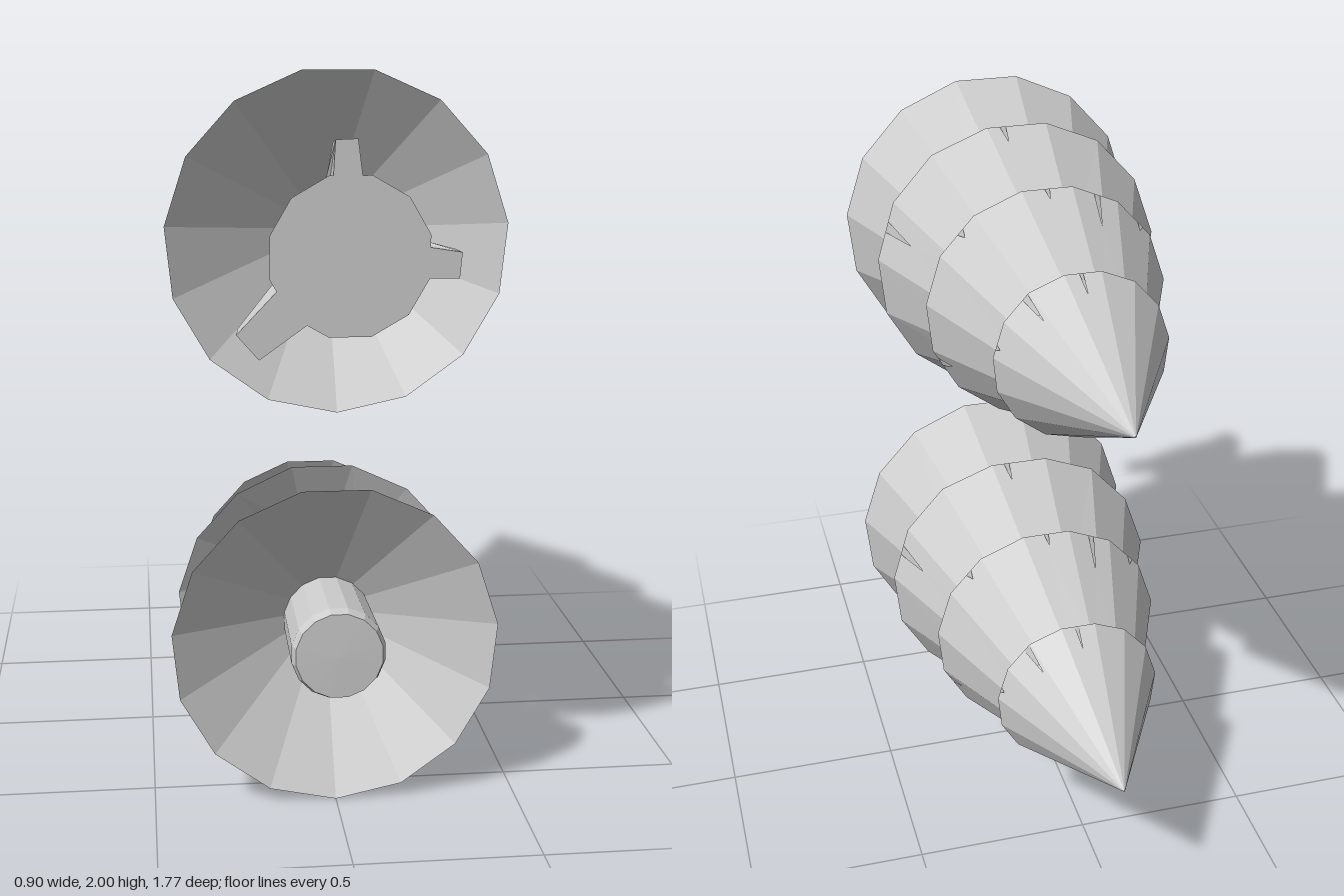
import * as THREE from 'three';

const SIDES = 15;
const material = new THREE.MeshStandardMaterial({ color: 0xcccccc, flatShading: true, side: THREE.DoubleSide });
const point = (r, a, z) => [r * Math.cos(a), r * Math.sin(a), z];
const mix = (a, b, t) => a.map((v, i) => v + (b[i] - v) * t);

// Branch tiers: rim and tip as [radius, z], under = inner end of the hollow underside,
// notches as [facet, position along facet, depth along slope, half width]
const TIERS = [
  { rim: [0.45, 0.62], tip: [0.27, 0.17], under: [0.125, 0.4], wave: 0, notches: [] },
  { rim: [0.42, 0.262], tip: [0.24, -0.18], under: [0.2, 0.16], wave: 0.01, notches: [[4, 0.58, 0.27, 0.09], [7, 0.27, 0.14, 0.05]] },
  { rim: [0.347, -0.072], tip: [0.17, -0.5], under: [0.16, -0.16], wave: 0.004,
    notches: [[2, 0.7, 0.14, 0.1], [5, 0.6, 0.06, 0.08], [7, 0.5, 0.09, 0.05], [8, 0.54, 0.28, 0.06], [9, 0.7, 0.06, 0.08]] },
  { rim: [0.243, -0.422], tip: [0.001, -0.885], under: [0.1, -0.5], wave: 0.004,
    notches: [[4, 0.3, 0.03, 0.08], [5, 0.85, 0.18, 0.1], [7, 0.45, 0.14, 0.05]] },
];

// Faceted cone ring with slits cut into its rim and a concave underside
function tierGeometry({ rim, tip, under, wave, notches }) {
  const positions = [];
  const tri = (...corners) => corners.forEach((c) => positions.push(...c));
  const angle = (k) => -Math.PI / 2 + ((k % SIDES) / SIDES) * Math.PI * 2;
  const edge = (k) => point(rim[0], angle(k), rim[1] - wave * Math.cos(4 * angle(k)));
  for (let k = 0; k < SIDES; k++) {
    const a = edge(k), b = edge(k + 1);
    const ta = point(tip[0], angle(k), tip[1]), tb = point(tip[0], angle(k + 1), tip[1]);
    const ua = point(under[0], angle(k), under[1]), ub = point(under[0], angle(k + 1), under[1]);
    const notch = notches.find((n) => n[0] === k);
    if (notch) {
      const [, t, depth, half] = notch;
      const left = mix(a, b, t - half), right = mix(a, b, t + half);
      const top = mix(mix(a, b, t), mix(ta, tb, t), depth);
      tri(a, top, left);
      tri(a, ta, top);
      tri(ta, tb, top);
      tri(top, tb, b);
      tri(top, b, right);
    } else {
      tri(a, ta, b);
      tri(ta, tb, b);
    }
    tri(a, b, ua);
    tri(b, ub, ua);
  }
  const geometry = new THREE.BufferGeometry();
  geometry.setAttribute('position', new THREE.Float32BufferAttribute(positions, 3));
  geometry.computeVertexNormals();
  return geometry;
}

// Turned trunk along z from [radius, z] points
function trunkGeometry(profile, sides) {
  const points = profile.map(([r, z]) => new THREE.Vector2(r, z));
  return new THREE.LatheGeometry(points, sides, Math.PI / sides).rotateX(Math.PI / 2);
}

// Stubby root pointing along +x, narrowing towards its end
function rootGeometry(length, inner, outer) {
  const shape = new THREE.Shape([
    [0.1, 0.885], [0.1, 0.76], [0.195, 0.815], [length - 0.01, 0.84], [length, 0.885],
  ].map(([r, z]) => new THREE.Vector2(r, -z)));
  const geometry = new THREE.ExtrudeGeometry(shape, { depth: 1, bevelEnabled: false });
  geometry.translate(0, 0, -0.5).rotateX(-Math.PI / 2);
  const p = geometry.attributes.position;
  for (let i = 0; i < p.count; i++) {
    const t = THREE.MathUtils.clamp((p.getX(i) - 0.19) / (length - 0.19), 0, 1);
    p.setY(i, p.getY(i) * THREE.MathUtils.lerp(inner, outer, t));
  }
  geometry.computeVertexNormals();
  return geometry;
}

function addMesh(parent, name, geometry) {
  const mesh = new THREE.Mesh(geometry, material);
  mesh.name = name;
  parent.add(mesh);
  return mesh;
}

function makeTree(name, y) {
  const tree = new THREE.Group();
  tree.name = name;
  tree.position.y = y;
  TIERS.forEach((tier, i) => addMesh(tree, `branchTier${i + 1}`, tierGeometry(tier)));
  return tree;
}

export function createModel() {
  const model = new THREE.Group();

  // Tree with a flared trunk and three roots
  const rooted = makeTree('rootedTree', 1.56);
  addMesh(rooted, 'flaredTrunk', trunkGeometry(
    [[0.125, 0.36], [0.125, 0.67], [0.145, 0.75], [0.175, 0.83], [0.205, 0.885], [0, 0.885]], 12));
  [[92, 0.285, 0.09, 0.055], [-5, 0.275, 0.09, 0.065], [221, 0.335, 0.13, 0.085]].forEach(([deg, length, inner, outer], i) => {
    const root = addMesh(rooted, `root${i + 1}`, rootGeometry(length, inner, outer));
    root.rotation.z = THREE.MathUtils.degToRad(deg);
  });

  // Tree with a plain cut trunk
  const cut = makeTree('cutTree', 0.455);
  addMesh(cut, 'cutTrunk', trunkGeometry([[0.125, 0.36], [0.13, 0.67], [0.12, 0.695], [0, 0.698]], 16));

  model.add(rooted, cut);
  return model;
}
